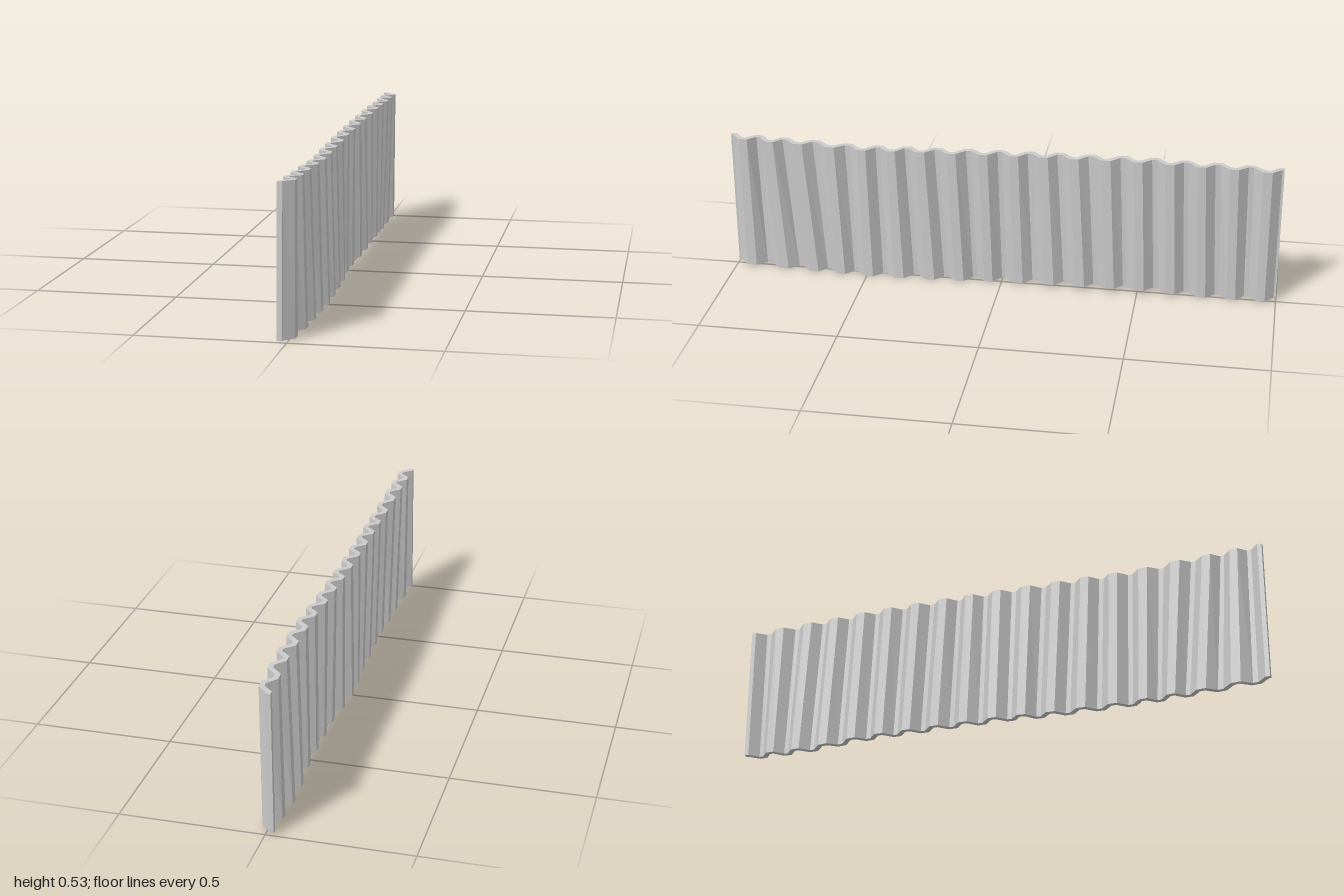
import * as THREE from 'three';

// Smoothly blends values spaced evenly from z = -1 to z = 1
function blend(values, z) {
  const s = THREE.MathUtils.clamp((z + 1) / 2, 0, 1) * (values.length - 1);
  const i = Math.min(Math.floor(s), values.length - 2);
  return THREE.MathUtils.lerp(values[i], values[i + 1], THREE.MathUtils.smoothstep(s - i, 0, 1));
}

// Warp of the sheet along its length
const TOP_Y = [0.515, 0.524, 0.527, 0.52, 0.514, 0.508, 0.503, 0.51, 0.515];
const BOTTOM_Y = [0.01, 0.002, 0.018, 0.016, 0.006, 0.001, 0, 0.001, 0.005];
const TOP_X = [-0.002, 0.009, 0.008, 0, -0.003, -0.001, 0.003, 0, -0.003];
const BOTTOM_X = [-0.004, -0.011, 0, 0.002, -0.012, 0.003, 0.011, 0.005, -0.007];
const LEAN = [0, -0.02, -0.02, -0.03, -0.015, -0.03, -0.015, -0.045, 0];

const WAVES = 18, AMPLITUDE = 0.016, HALF_THICKNESS = 0.009;

// Centre line of the corrugation: flat crests joined by sloping webs
function corrugation() {
  const wave = [[0.11, -1], [0.39, 1], [0.61, 1], [0.89, -1]];
  const points = [new THREE.Vector2(-AMPLITUDE, -1)];
  for (let k = 0; k < WAVES; k++)
    for (const [t, side] of wave)
      points.push(new THREE.Vector2(side * AMPLITUDE, -1 + (2 * (k + t)) / WAVES));
  points.push(new THREE.Vector2(-AMPLITUDE, 1));
  return points;
}

// Offsets the centre line sideways with mitred corners
function offsetLine(line, distance) {
  return line.map((p, i) => {
    const a = line[Math.max(i - 1, 0)], b = line[Math.min(i + 1, line.length - 1)];
    const before = (i ? p.clone().sub(a) : b.clone().sub(p)).normalize();
    const after = (i < line.length - 1 ? b.clone().sub(p) : before.clone()).normalize();
    const along = before.clone().add(after).normalize();
    const miter = distance / along.dot(before);
    return new THREE.Vector2(p.x + along.y * miter, p.y - along.x * miter);
  });
}

// Places a profile point at the bottom (v = 0) or top (v = 1) of the sheet
function place(p, centre, v) {
  const z = centre.y;
  return [
    p.x + blend(v ? TOP_X : BOTTOM_X, z),
    blend(v ? TOP_Y : BOTTOM_Y, z),
    p.y + blend(LEAN, z) * (0.5 - v),
  ];
}

export function createModel() {
  const group = new THREE.Group();
  const line = corrugation();
  const left = offsetLine(line, HALF_THICKNESS);
  const right = offsetLine(line, -HALF_THICKNESS);

  // Four corners at each step: left bottom, left top, right top, right bottom
  const sections = line.map((c, i) => [
    place(left[i], c, 0), place(left[i], c, 1), place(right[i], c, 1), place(right[i], c, 0),
  ]);
  const positions = [];
  const quad = (a, b, c, d) => positions.push(...a, ...b, ...c, ...a, ...c, ...d);
  for (let i = 0; i < sections.length - 1; i++) {
    const s = sections[i], n = sections[i + 1];
    for (let k = 0; k < 4; k++) {
      const m = (k + 1) % 4;
      quad(s[k], s[m], n[m], n[k]);
    }
  }
  // End caps
  const first = sections[0], last = sections[sections.length - 1];
  quad(first[3], first[2], first[1], first[0]);
  quad(last[0], last[1], last[2], last[3]);

  const geometry = new THREE.BufferGeometry();
  geometry.setAttribute('position', new THREE.Float32BufferAttribute(positions, 3));
  geometry.computeVertexNormals();
  const sheet = new THREE.Mesh(
    geometry,
    new THREE.MeshStandardMaterial({ color: 0xcccccc, flatShading: true })
  );
  sheet.name = 'corrugatedSheet';
  group.add(sheet);
  return group;
}
